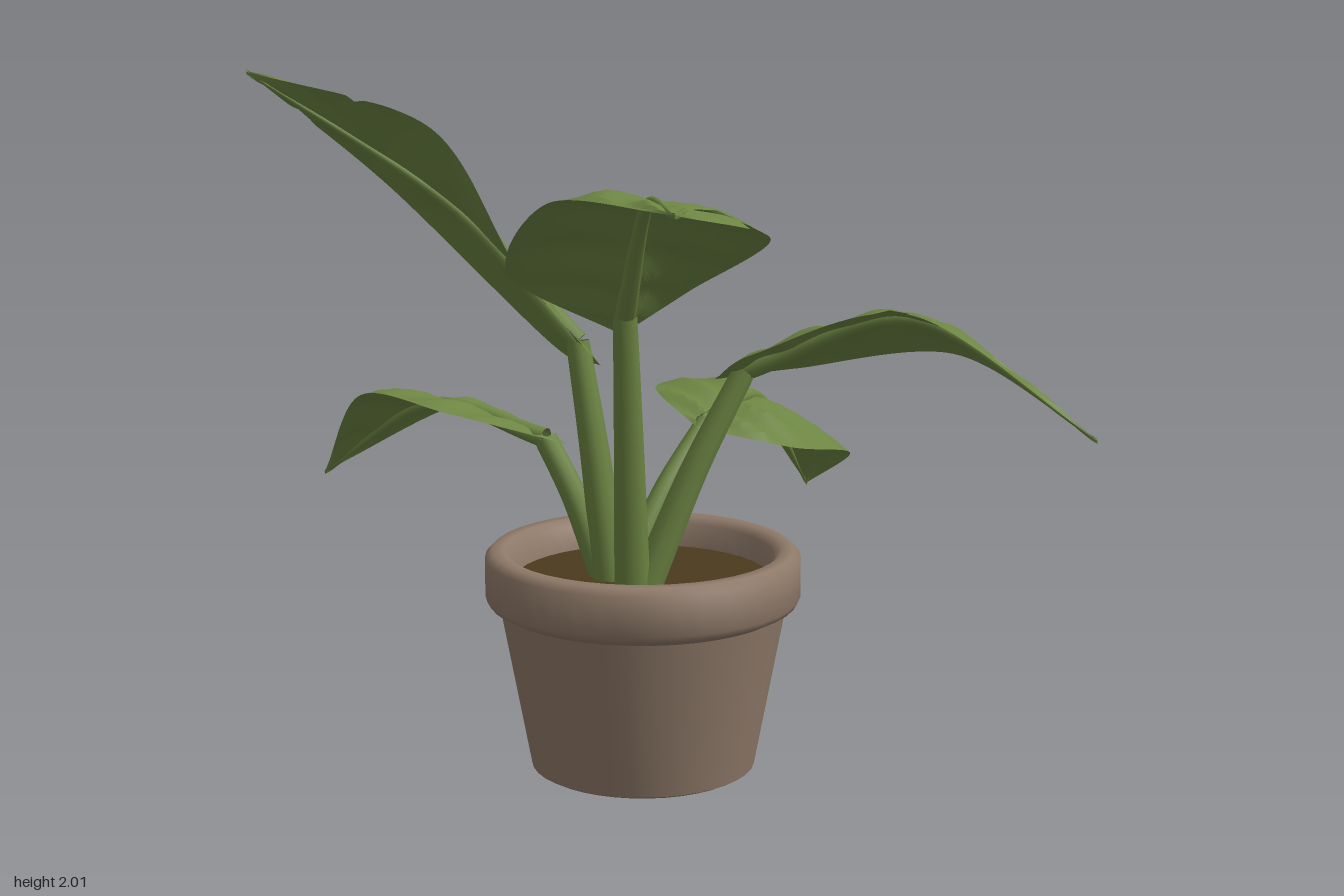
import * as THREE from 'three';
import { toCreasedNormals } from 'three/addons/utils/BufferGeometryUtils.js';

const leafGreen = new THREE.MeshStandardMaterial({ color: 0x6c8442, side: THREE.DoubleSide });
leafGreen.name = 'leafGreen';
const clay = new THREE.MeshStandardMaterial({ color: 0x8f7a69 });
clay.name = 'clay';
const soilBrown = new THREE.MeshStandardMaterial({ color: 0x4b3a1d });
soilBrown.name = 'soilBrown';

const vec = (p) => new THREE.Vector3(...p);
const curve = (points) => new THREE.CatmullRomCurve3(points, false, 'catmullrom', 0.45);

function addMesh(parent, name, geometry, material) {
  const mesh = new THREE.Mesh(geometry, material);
  mesh.name = name;
  parent.add(mesh);
  return mesh;
}

// Round tube that narrows from r0 to r1
function taperedTube(path, r0, r1) {
  const steps = 24, sides = 10;
  const geo = new THREE.TubeGeometry(path, steps, 1, sides, false);
  const pos = geo.attributes.position, v = new THREE.Vector3();
  for (let i = 0; i < pos.count; i++) {
    const t = Math.floor(i / (sides + 1)) / steps;
    const c = path.getPointAt(t);
    v.fromBufferAttribute(pos, i).sub(c).multiplyScalar(r0 + (r1 - r0) * t).add(c);
    pos.setXYZ(i, v.x, v.y, v.z);
  }
  return geo;
}

// Blade lofted between left edge, midrib and right edge; tears are V-shaped notches
function bladeGeometry(leftEdge, midrib, rightEdge, tears) {
  const rows = 80, half = 6, cols = half * 2, verts = [], index = [];
  for (let i = 0; i <= rows; i++) {
    const u = i / rows;
    for (let j = 0; j <= cols; j++) {
      const side = j < half ? -1 : 1;
      let s = Math.abs(j - half) / half;
      for (const [tornSide, at, depth] of tears) {
        if (tornSide === side) s *= 1 - depth * Math.max(0, 1 - Math.abs(u - at) / 0.032);
      }
      const p = midrib.getPoint(u).lerp((side < 0 ? leftEdge : rightEdge).getPoint(u), s);
      // gentle arch across the blade and vein ripples
      p.y += s * (1 - s) * (0.1 * Math.sin(Math.PI * u) + 0.04 * Math.sin(u * 34 - s * 7));
      verts.push(p.x, p.y, p.z);
      if (i < rows && j < cols) {
        const a = i * (cols + 1) + j, b = a + cols + 1;
        index.push(a, b, a + 1, b, b + 1, a + 1);
      }
    }
  }
  const geo = new THREE.BufferGeometry();
  geo.setAttribute('position', new THREE.Float32BufferAttribute(verts, 3));
  geo.setIndex(index);
  geo.computeVertexNormals();
  return toCreasedNormals(geo, 0.35);
}

// One leaf: spine is base, middle, tip; each edge has a shoulder and a flank point;
// each tear is side, place along the edge, depth
function addLeaf(model, name, radius, spine, left, right, tears) {
  const group = new THREE.Group();
  group.name = name;
  model.add(group);
  const [base, middle, tip] = spine.map(vec);
  // the edges start a little behind the stem, as heart-shaped lobes
  const heel = base.clone().lerp(middle, -0.18);
  const edge = (points) => curve([heel, ...points.map(vec), tip]);
  const midrib = curve([base, middle, tip]);
  addMesh(group, 'blade', bladeGeometry(edge(left), midrib, edge(right), tears), leafGreen);
  addMesh(group, 'midrib', taperedTube(midrib, 0.03, 0.003), leafGreen);

  // Stems fan out from one spot in the soil and bow slightly upward
  const root = new THREE.Vector3(-0.09 + 0.1 * base.x, 0.55, 0.4 * base.z);
  const bend = root.clone().lerp(base, 0.5);
  bend.y += 0.03;
  addMesh(group, 'stem', taperedTube(curve([root, bend, base]), radius, 0.034), leafGreen);
}

export function createModel() {
  const model = new THREE.Group();
  model.name = 'pottedPlant';

  // Pot with rolled rim, hollow at the top
  const pot = new THREE.Group();
  pot.name = 'pot';
  pot.position.set(-0.03, 0, -0.025);
  model.add(pot);
  const profile = [[0.31, 0], [0.325, 0.008], [0.413, 0.48], [0.445, 0.497], [0.455, 0.515],
    [0.455, 0.63], [0.435, 0.65], [0.4, 0.65], [0.378, 0.63], [0.37, 0.54]];
  const shell = new THREE.LatheGeometry(profile.map(([r, y]) => new THREE.Vector2(r, y)), 40);
  addMesh(pot, 'potShell', toCreasedNormals(shell, 0.8), clay);

  // Soil surface and the dark underside
  const addDisc = (name, r, y, turn) => {
    const disc = addMesh(pot, name, new THREE.CircleGeometry(r, 40), soilBrown);
    disc.rotation.x = turn;
    disc.position.y = y;
  };
  addDisc('soil', 0.375, 0.56, -Math.PI / 2);
  addDisc('potBase', 0.312, 0.001, Math.PI / 2);

  // Five leaves, each facing its own way
  addLeaf(model, 'frontTallLeaf', 0.052,
    [[-0.17, 1.36, 0.12], [-0.3, 1.71, 0.46], [-0.5, 1.76, 0.94]],
    [[-0.52, 1.5, 0.1], [-0.62, 1.75, 0.52]],
    [[0.02, 1.42, 0.15], [0.04, 1.61, 0.53]],
    [[1, 0.75, 0.75]]);
  addLeaf(model, 'frontLowLeaf', 0.05,
    [[0.22, 1.17, 0.12], [0.56, 1.34, 0.47], [0.9, 1.03, 0.86]],
    [[0.13, 1.26, 0.32], [0.42, 1.39, 0.65]],
    [[0.48, 1.13, 0], [0.82, 1.19, 0.31]],
    [[-1, 0.62, 0.4], [1, 0.94, 0.4]]);
  addLeaf(model, 'backLowLeaf', 0.042,
    [[0.29, 0.95, -0.2], [0.57, 0.97, -0.36], [0.89, 0.62, -0.56]],
    [[0.27, 1.02, -0.46], [0.67, 0.94, -0.65]],
    [[0.5, 0.88, -0.05], [0.83, 0.79, -0.23]],
    [[-1, 0.55, 0.5], [-1, 0.84, 0.4]]);
  addLeaf(model, 'backHangingLeaf', 0.042,
    [[-0.22, 0.95, -0.26], [-0.42, 1.01, -0.61], [-0.62, 0.76, -0.94]],
    [[-0.5, 1.04, -0.32], [-0.65, 1.06, -0.6]],
    [[-0.1, 0.9, -0.5], [-0.2, 0.95, -0.82]],
    [[1, 0.55, 0.2]]);
  addLeaf(model, 'tallestLeaf', 0.054,
    [[-0.15, 1.24, -0.19], [-0.42, 1.62, -0.45], [-0.91, 2, -0.75]],
    [[-0.44, 1.5, 0], [-0.58, 1.87, -0.25]],
    [[-0.09, 1.18, -0.45], [-0.45, 1.64, -0.81]],
    [[-1, 0.8, 0.25], [1, 0.87, 0.3]]);
  return model;
}
